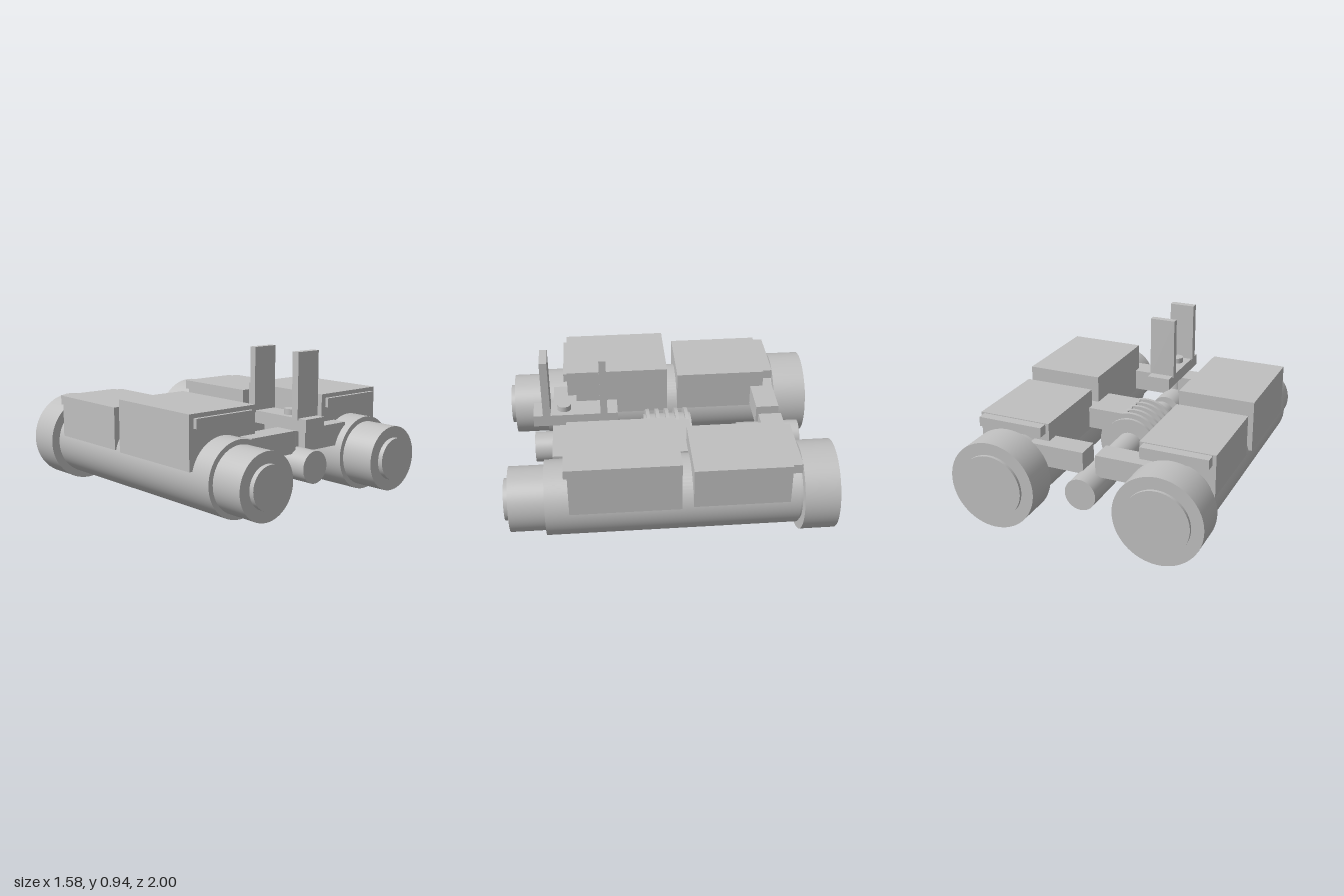
import * as THREE from 'three';

export function createModel() {
  const model = new THREE.Group();
  const grey = new THREE.MeshStandardMaterial({ color: 0xc0c0c0 });
  const axisY = 0.277;

  // Box given by its limits on each axis
  function box(name, [x0, x1], [y0, y1], [z0, z1], parent = model) {
    const mesh = new THREE.Mesh(new THREE.BoxGeometry(x1 - x0, y1 - y0, z1 - z0), grey);
    mesh.position.set((x0 + x1) / 2, (y0 + y1) / 2, (z0 + z1) / 2);
    mesh.name = name;
    parent.add(mesh);
  }

  // Cylinder lying along z
  function drum(name, x, radius, z0, z1, parent = model) {
    const geometry = new THREE.CylinderGeometry(radius, radius, z1 - z0, 64);
    geometry.rotateX(Math.PI / 2);
    const mesh = new THREE.Mesh(geometry, grey);
    mesh.position.set(x, axisY, (z0 + z1) / 2);
    mesh.name = name;
    parent.add(mesh);
  }

  // Twin barrels with their housings
  for (const side of [-1, 1]) {
    const barrel = new THREE.Group();
    barrel.name = side > 0 ? 'leftBarrel' : 'rightBarrel';
    barrel.position.x = side * 0.52;
    model.add(barrel);

    drum('tube', 0, 0.227, -0.755, 0.755, barrel);
    drum('rearNeck', 0, 0.21, -0.775, -0.75, barrel);
    drum('objectiveRing', 0, 0.272, -0.982, -0.77, barrel);
    drum('objectiveLens', 0, 0.197, -1, -0.975, barrel);
    drum('eyepiece', 0, 0.197, 0.75, 0.97, barrel);
    drum('eyepieceLens', 0, 0.128, 0.965, 1, barrel);

    box('frontHousing', [-0.242, 0.242], [0.33, 0.65], [-0.045, 0.612], barrel);
    box('frontCoverPlate', [-0.21, 0.21], [0.568, 0.625], [0.61, 0.635], barrel);
    box('rearHousing', [-0.229, 0.229], [0.33, 0.59], [-0.69, -0.115], barrel);
    box('rearCoverPlate', [-0.207, 0.207], [0.525, 0.585], [-0.75, -0.685], barrel);

    // Hinge arms reaching in towards the centre
    const span = (a, b) => side > 0 ? [a, b] : [-b, -a];
    box('frontArm', span(0.04, 0.39), [0.345, 0.48], [0.557, 0.705]);
    box('rearArm', span(0.04, 0.39), [0.345, 0.48], [-0.753, -0.607]);
  }

  // Central hinge pins and focus rod
  drum('frontPin', 0, 0.097, 0.43, 0.827);
  drum('rearPin', 0, 0.097, -0.877, -0.483);
  drum('focusRod', 0, 0.088, -0.42, 0.37);

  // Ribbed focus wheel and its bracket
  drum('focusWheel', 0, 0.18, -0.175, 0.125);
  for (let i = 0; i < 5; i++) {
    const z = -0.145 + i * 0.0615;
    drum('wheelRib', 0, 0.212, z - 0.011, z + 0.011);
  }
  box('wheelBracket', [0.04, 0.4], [0.345, 0.48], [-0.157, 0.11]);

  // Sighting rail carried on a vertical post
  const post = new THREE.Mesh(new THREE.CylinderGeometry(0.043, 0.043, 0.3, 32), grey);
  post.position.set(0, 0.45, 0.63);
  post.name = 'railPost';
  model.add(post);
  box('sightRail', [-0.076, 0.076], [0.49, 0.565], [0.295, 0.822]);
  box('frontSight', [-0.083, 0.083], [0.553, 0.948], [0.715, 0.762]);
  box('rearSight', [-0.083, 0.083], [0.553, 0.948], [0.36, 0.403]);

  return model;
}
